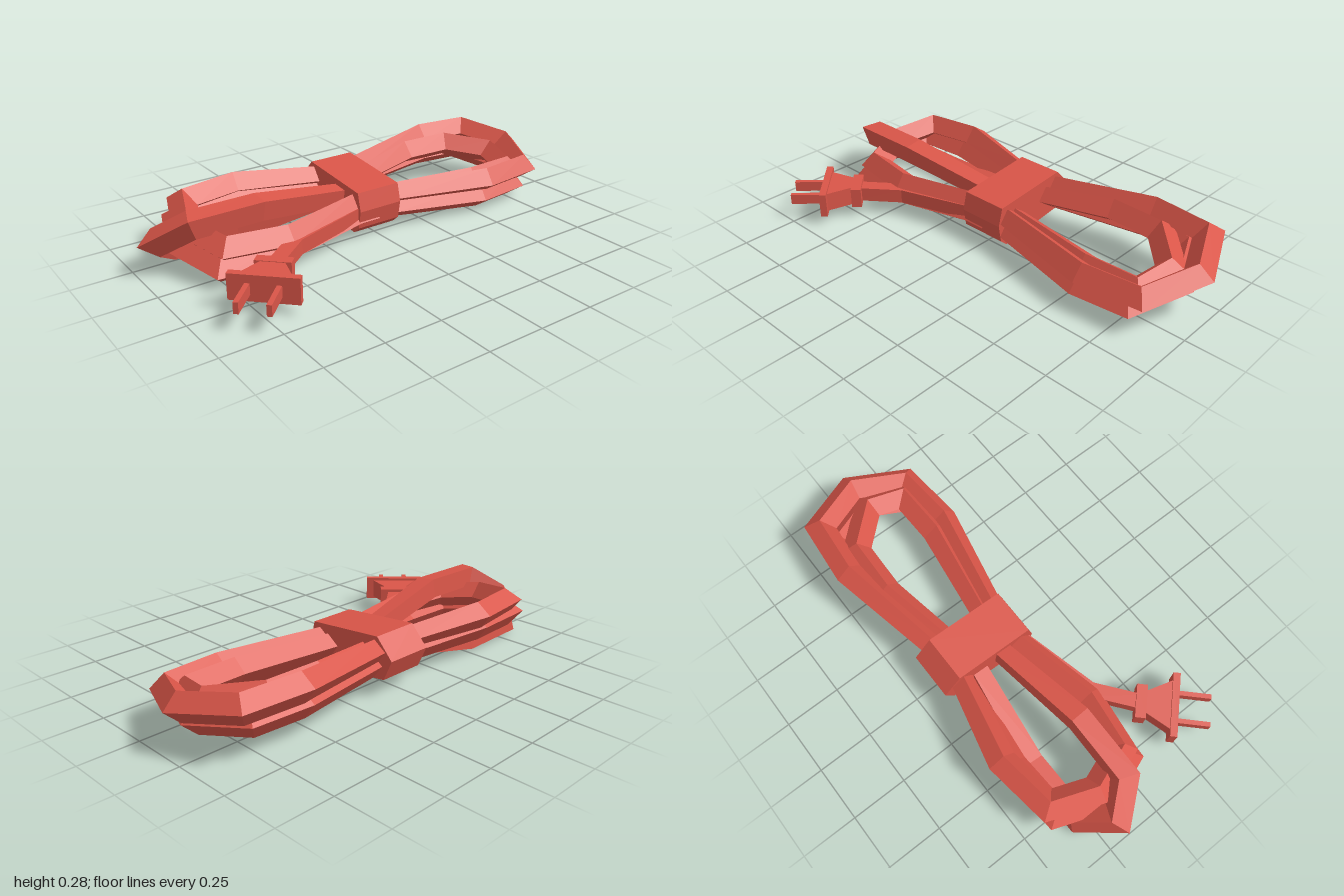
import * as THREE from 'three';

// Four-sided mitred sweep along a polyline; "up" fixes one pair of corners, radii holds one size per point
function sweep(pts, up, radii, turn = 0) {
  const n = pts.length;
  const rings = pts.map((p, i) => {
    const a = pts[Math.max(i - 1, 0)], b = pts[Math.min(i + 1, n - 1)];
    const tin = (i ? p.clone().sub(a) : b.clone().sub(p)).normalize();
    const tout = (i < n - 1 ? b.clone().sub(p) : p.clone().sub(a)).normalize();
    const t = tin.clone().add(tout).normalize();
    const side = up.clone().cross(t).normalize();
    const top = t.clone().cross(side);
    const miter = Math.min(1 / t.dot(tin), 1.4);
    return [0, 1, 2, 3].map((k) => {
      const w = turn + k * Math.PI / 2;
      return p.clone().addScaledVector(side, Math.cos(w) * radii[i] * miter).addScaledVector(top, Math.sin(w) * radii[i]);
    });
  });
  const out = [];
  const tri = (...c) => c.forEach((v) => out.push(v.x, v.y, v.z));
  for (let i = 0; i < n - 1; i++) {
    for (let k = 0; k < 4; k++) {
      const a = rings[i][k], b = rings[i][(k + 1) % 4];
      const d = rings[i + 1][k], c = rings[i + 1][(k + 1) % 4];
      tri(a, b, d);
      tri(b, c, d);
    }
  }
  const g = new THREE.BufferGeometry();
  g.setAttribute('position', new THREE.Float32BufferAttribute(out, 3));
  g.computeVertexNormals();
  return g;
}

// Tilted hairpin loop, squeezed at the neck where the band holds it;
// dir is the z side, skew pushes its right half outwards
function hairpin({ dir, cx, y, slope, neck, neckY, neckSlope = 0.11, wide, shoulder, tip, skew = 0 }) {
  const side = (s) => [
    ...[0, 0.1].map((z) => new THREE.Vector3(cx + s * neck, neckY - s * neckSlope * neck, dir * z)),
    ...[wide, shoulder].map(([w, z]) => new THREE.Vector3(cx + s * w, y - s * slope * w, dir * (z + s * skew))),
  ];
  const path = [...side(-1), new THREE.Vector3(cx, y, dir * tip), ...side(1).reverse()];
  const radii = path.map((p) => (Math.abs(p.z) > 0.1 ? 0.06 : 0.05));
  return sweep(path, new THREE.Vector3(slope, 1, 0).normalize(), radii);
}

export function createModel() {
  const model = new THREE.Group();
  model.name = 'bundledPowerCord';
  const red = new THREE.MeshStandardMaterial({ color: 0xd95548, flatShading: true });
  red.name = 'cordRed';
  const add = (name, geometry, parent = model) => {
    const mesh = new THREE.Mesh(geometry, red);
    mesh.name = name;
    parent.add(mesh);
  };

  // Cord loops, each leaving and re-entering the band
  const loops = {
    backOuterLoop: { dir: -1, cx: -0.168, y: 0.172, slope: 0.165, neck: 0.155, neckY: 0.162, wide: [0.248, 0.575], shoulder: [0.225, 0.833], tip: 0.933 },
    backLowerLoop: { dir: -1, cx: -0.16, y: 0.095, slope: 0.165, neck: 0.15, neckY: 0.1, wide: [0.225, 0.55], shoulder: [0.205, 0.77], tip: 0.86 },
    backInnerLoop: { dir: -1, cx: -0.16, y: 0.15, slope: 0.16, neck: 0.1, neckY: 0.14, wide: [0.172, 0.48], shoulder: [0.165, 0.72], tip: 0.82, skew: 0.06 },
    frontCrossingLoop: { dir: 1, cx: -0.17, y: 0.137, slope: -0.78, neck: 0.06, neckY: 0.135, neckSlope: -0.4, wide: [0.118, 0.53], shoulder: [0.114, 0.82], tip: 0.925 },
    frontLowerLoop: { dir: 1, cx: -0.155, y: 0.094, slope: 0.18, neck: 0.15, neckY: 0.1, wide: [0.21, 0.5], shoulder: [0.195, 0.755], tip: 0.825 },
    frontUpperLoop: { dir: 1, cx: -0.168, y: 0.162, slope: 0.17, neck: 0.15, neckY: 0.162, wide: [0.23, 0.47], shoulder: [0.195, 0.72], tip: 0.79 },
  };
  for (const [name, spec] of Object.entries(loops)) add(name, hairpin(spec));

  // Loose end of the cord, running to the plug
  const tail = [[-0.02, 0.11, 0], [0, 0.11, 0.1], [0.09, 0.093, 0.45], [0.23, 0.093, 0.63]];
  add('cordTail', sweep(tail.map((p) => new THREE.Vector3(...p)), new THREE.Vector3(0, 1, 0), tail.map(() => 0.045), Math.PI / 4));

  // Band around the middle, with a faceted slanted outline
  const outline = [[-0.41, 0.16], [-0.37, 0.07], [0.0, 0.02], [0.035, 0.05], [0.05, 0.13], [0.03, 0.21], [-0.33, 0.245]];
  const band = new THREE.ExtrudeGeometry(new THREE.Shape(outline.map(([x, y]) => new THREE.Vector2(x, y))),
    { depth: 0.21, bevelEnabled: false });
  add('band', band.translate(0, 0, -0.105));

  // Plug: collar, flared body, face plate and two prongs
  const plug = new THREE.Group();
  plug.name = 'plug';
  plug.position.set(0.222, 0.093, 0.622);
  plug.rotation.y = Math.PI / 4;
  model.add(plug);
  add('collar', new THREE.BoxGeometry(0.145, 0.09, 0.045), plug);
  const body = new THREE.BoxGeometry(1, 0.085, 0.12).translate(0, 0, 0.075);
  const pos = body.attributes.position;
  for (let i = 0; i < pos.count; i++) pos.setX(i, pos.getX(i) * (pos.getZ(i) > 0.075 ? 0.22 : 0.09));
  body.computeVertexNormals();
  add('plugBody', body, plug);
  add('facePlate', new THREE.BoxGeometry(0.275, 0.108, 0.03).translate(0, 0, 0.14), plug);
  for (const s of [-1, 1]) {
    add(s < 0 ? 'rightProng' : 'leftProng',
      new THREE.BoxGeometry(0.02, 0.046, 0.145).translate(s * 0.06, -0.003, 0.222), plug);
  }
  return model;
}
